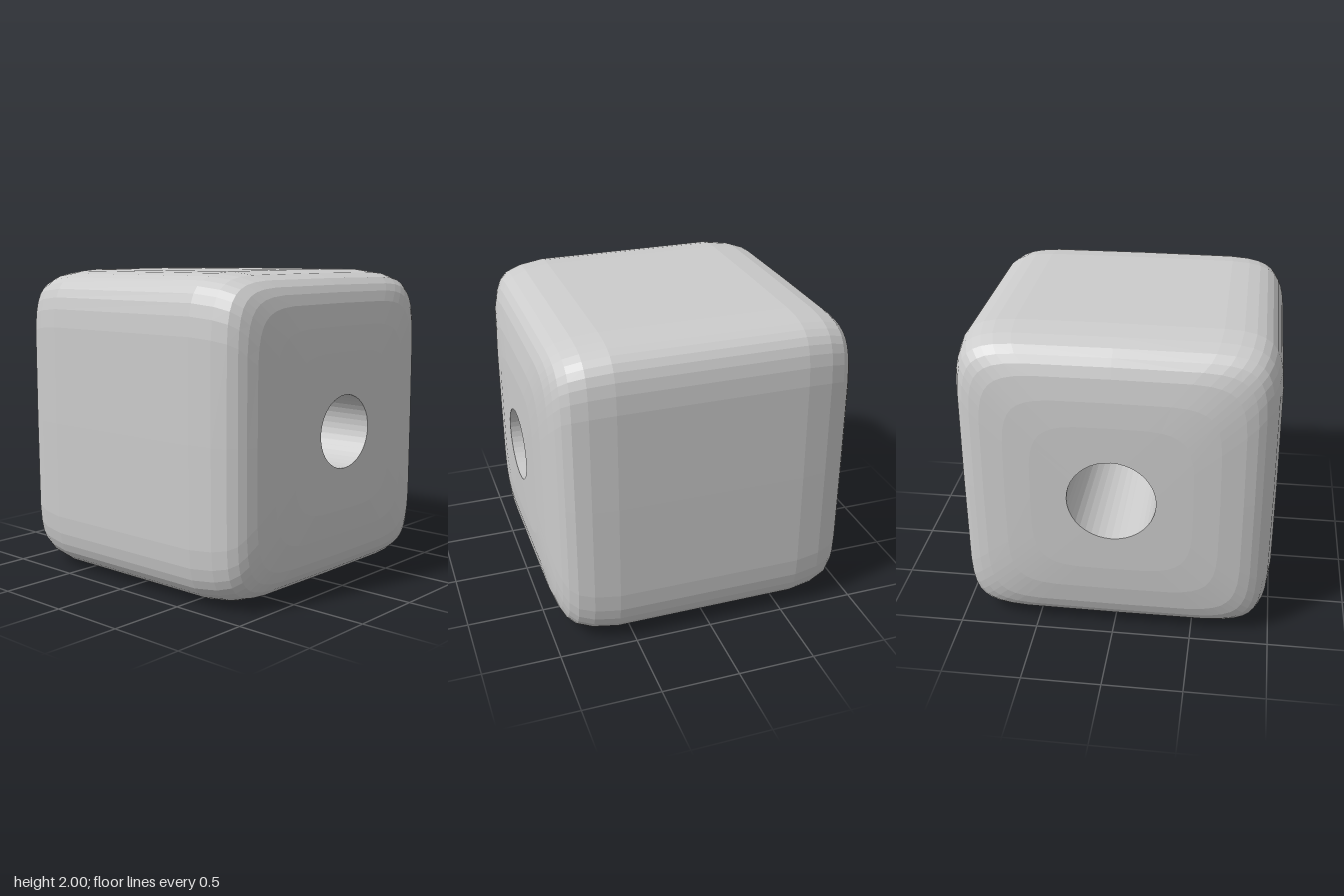
import * as THREE from 'three';

const SEGMENTS = 40;

// Superellipse loop: exponent 2 is an ellipse, 8 a square with soft corners.
function loop(rx, ry, n, z) {
  const soft = (v) => Math.sign(v) * Math.pow(Math.abs(v), 2 / n);
  const points = [];
  for (let j = 0; j < SEGMENTS; j++) {
    const t = (j / SEGMENTS) * Math.PI * 2;
    points.push([rx * soft(Math.cos(t)), 1 + ry * soft(Math.sin(t)), z]);
  }
  return points;
}

// Skins a closed series of loops with quads.
function skin(loops) {
  const positions = loops.flat(2);
  const index = [];
  loops.forEach((_, i) => {
    const next = (i + 1) % loops.length;
    for (let j = 0; j < SEGMENTS; j++) {
      const k = (j + 1) % SEGMENTS;
      const a = i * SEGMENTS + j, b = i * SEGMENTS + k;
      const c = next * SEGMENTS + k, d = next * SEGMENTS + j;
      index.push(a, d, c, a, c, b);
    }
  });
  const geometry = new THREE.BufferGeometry();
  geometry.setAttribute('position', new THREE.Float32BufferAttribute(positions, 3));
  geometry.setIndex(index);
  geometry.computeVertexNormals();
  return geometry;
}

export function createModel() {
  // Rounded face, from the hole out to the straight wall: half size, exponent, depth
  const face = [
    [0.5, 4.5, 0.997],
    [0.66, 6, 0.985],
    [0.8, 7, 0.96],
    [0.865, 7.5, 0.935],
    [0.91, 8, 0.905],
    [0.95, 8, 0.855],
    [0.98, 8, 0.76],
    [1, 8, 0.6],
  ];
  const front = face.map(([s, n, z]) => loop(s, s, n, z));
  const back = face.map(([s, n, z]) => loop(s, s, n, -z)).reverse();

  // The hole through the block is slightly wider at the back
  const loops = [
    loop(0.25, 0.232, 2, 1),
    ...front,
    ...back,
    loop(0.275, 0.27, 2, -1),
  ];

  const material = new THREE.MeshStandardMaterial({ color: 0xcccccc, flatShading: true });
  const bead = new THREE.Mesh(skin(loops), material);
  bead.name = 'cubeBead';

  const group = new THREE.Group();
  group.name = 'bead';
  group.add(bead);
  return group;
}
